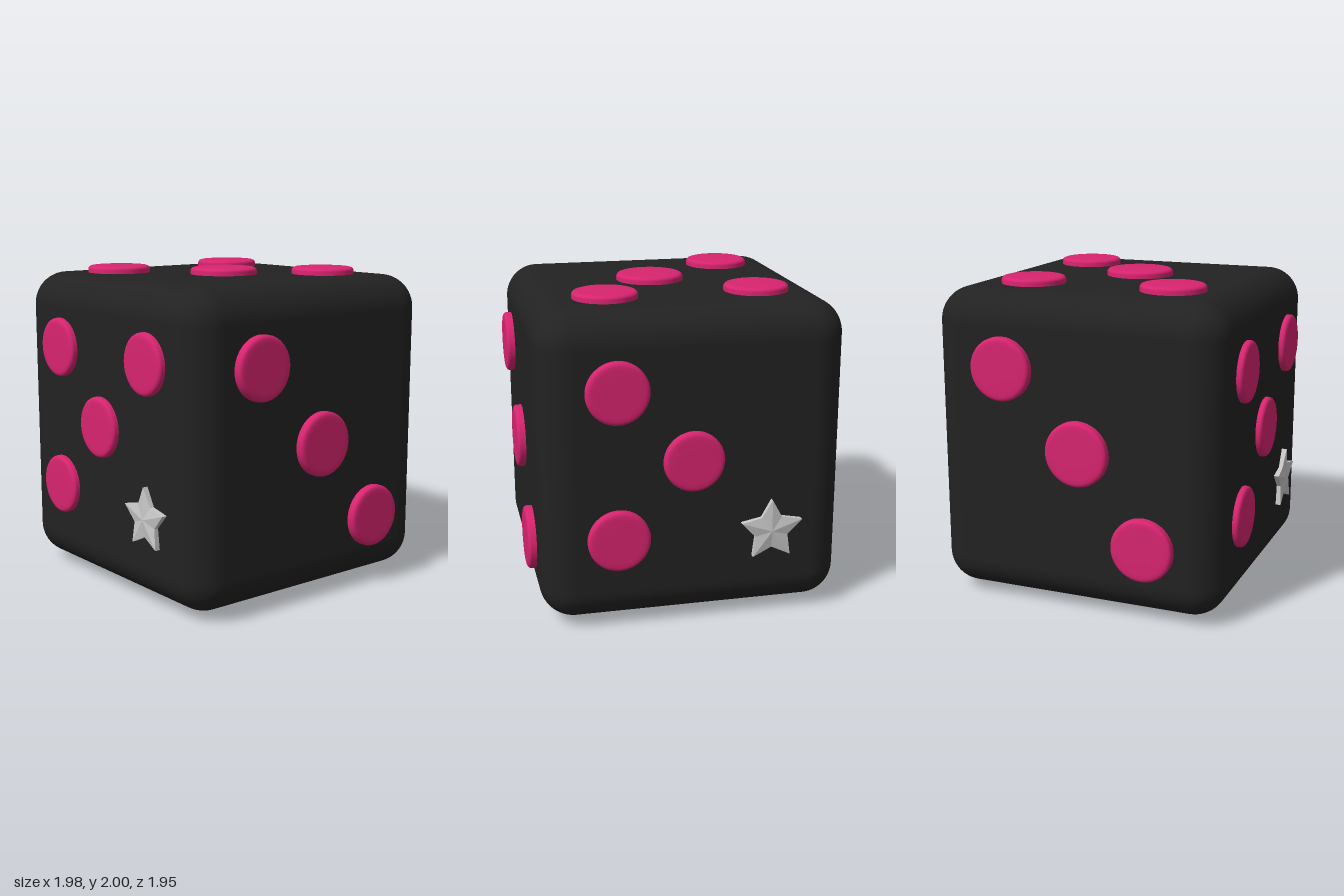
import * as THREE from 'three';
import { RoundedBoxGeometry } from 'three/addons/geometries/RoundedBoxGeometry.js';

const bodyMat = new THREE.MeshStandardMaterial({ color: 0x222222 });
bodyMat.name = 'charcoal';
const pipMat = new THREE.MeshStandardMaterial({ color: 0xd8246f });
pipMat.name = 'pink';
const starMat = new THREE.MeshStandardMaterial({ color: 0xc8c8c8 });
starMat.name = 'silver';

// Soft-edged disc facing +z, rising h above its base plane
function pipGeometry(r, h) {
  const profile = [
    [r, -0.03], [r, h - 0.022], [r - 0.004, h - 0.012], [r - 0.012, h - 0.005],
    [r - 0.025, h - 0.001], [r - 0.05, h], [0, h],
  ].map(([x, y]) => new THREE.Vector2(x, y));
  return new THREE.LatheGeometry(profile, 40).rotateX(Math.PI / 2);
}

// Five-pointed star facing +z with gently ridged arms
function starGeometry(outer, inner, rim, peak) {
  const ring = [];
  for (let i = 0; i < 10; i++) {
    const a = Math.PI / 2 + (i * Math.PI) / 5;
    const r = i % 2 ? inner : outer;
    ring.push([r * Math.cos(a), r * Math.sin(a)]);
  }
  const pos = [];
  ring.forEach(([ax, ay], i) => {
    const [bx, by] = ring[(i + 1) % 10];
    const az = i % 2 ? rim - 0.008 : rim;
    const bz = i % 2 ? rim : rim - 0.008;
    pos.push(0, 0, peak, ax, ay, az, bx, by, bz); // face
    pos.push(ax, ay, -0.03, bx, by, -0.03, bx, by, bz); // side
    pos.push(ax, ay, -0.03, bx, by, bz, ax, ay, az);
  });
  const g = new THREE.BufferGeometry();
  g.setAttribute('position', new THREE.Float32BufferAttribute(pos, 3));
  g.computeVertexNormals();
  return g;
}

// Each face: outward normal, pip height, and pips as [x, y, z, radius] on the body surface
const FX = 0.935, FZ = 0.93, TOP = 1.955, BOTTOM = 0.04;
const faces = [
  { name: 'front', n: [0, 0, 1], h: 0.042, pips: [
    [-0.47, 1.5, FZ, 0.187], [0.46, 1.5, FZ, 0.187], [-0.025, 1.05, FZ, 0.19], [-0.48, 0.6, FZ, 0.188]] },
  { name: 'back', n: [0, 0, -1], h: 0.045, pips: [
    [0.475, 1.495, -FZ, 0.19], [0.02, 1.05, -FZ, 0.185], [0.475, 0.585, -FZ, 0.19]] },
  { name: 'left', n: [1, 0, 0], h: 0.053, pips: [
    [FX, 1.49, 0.465, 0.195], [FX, 0.98, -0.02, 0.2], [FX, 0.455, -0.46, 0.197]] },
  { name: 'right', n: [-1, 0, 0], h: 0.053, pips: [
    [-FX, 1.5, -0.44, 0.195], [-FX, 1.025, 0.05, 0.2], [-FX, 0.48, 0.465, 0.195]] },
  { name: 'top', n: [0, 1, 0], h: 0.045, pips: [
    [-0.485, TOP, -0.44, 0.2], [0.46, TOP, -0.465, 0.2], [0.08, TOP, 0.045, 0.213], [-0.475, TOP, 0.475, 0.202]] },
  { name: 'bottom', n: [0, -1, 0], h: 0.04, pips: [
    [0.465, BOTTOM, -0.455, 0.19], [-0.005, BOTTOM, 0.005, 0.195],
    [-0.465, BOTTOM, -0.455, 0.195], [-0.465, BOTTOM, 0.465, 0.195]] },
];

export function createModel() {
  const model = new THREE.Group();
  model.name = 'die';

  // Rounded cube
  const body = new THREE.Mesh(
    new RoundedBoxGeometry(2 * FX, TOP - BOTTOM, 2 * FZ, 8, 0.21), bodyMat);
  body.name = 'body';
  body.position.y = (TOP + BOTTOM) / 2;
  model.add(body);

  // Raised dots
  const forward = new THREE.Vector3(0, 0, 1);
  for (const { name, n, h, pips } of faces) {
    const group = new THREE.Group();
    group.name = name + 'Pips';
    for (const [x, y, z, r] of pips) {
      const pip = new THREE.Mesh(pipGeometry(r, h), pipMat);
      pip.name = 'pip';
      pip.position.set(x, y, z);
      pip.quaternion.setFromUnitVectors(forward, new THREE.Vector3(...n));
      group.add(pip);
    }
    model.add(group);
  }

  // A star takes the place of one dot on the front and back
  const starGeo = starGeometry(0.2, 0.107, 0.034, 0.042);
  const frontStar = new THREE.Mesh(starGeo, starMat);
  frontStar.name = 'frontStar';
  frontStar.position.set(0.458, 0.57, FZ);
  const backStar = new THREE.Mesh(starGeo, starMat);
  backStar.name = 'backStar';
  backStar.position.set(-0.465, 0.57, -FZ);
  backStar.rotation.y = Math.PI;
  model.add(frontStar, backStar);

  return model;
}
